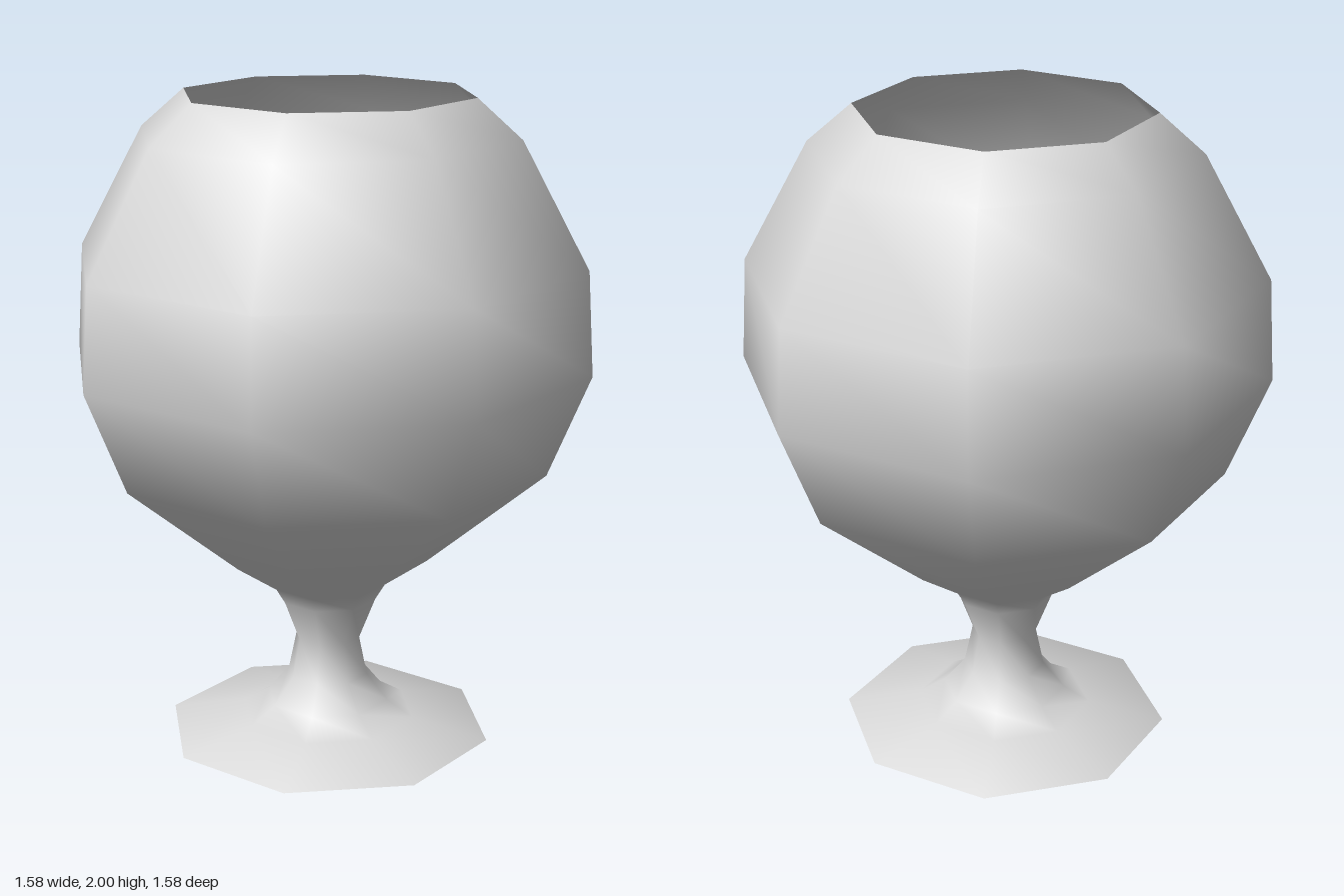
import * as THREE from 'three';

const SIDES = 8;

// Outside, from the centre of the foot up to the rim: [radius, height]
const OUTER = [
  [0, 0], [0.38, 0], [0.41, 0.005], [0.505, 0.03], [0.27, 0.08], [0.19, 0.13],
  [0.125, 0.21], [0.1, 0.33], [0.15, 0.46], [0.18, 0.51], [0.31, 0.6],
  [0.665, 0.9], [0.79, 1.21], [0.77, 1.52], [0.57, 1.885], [0.437, 2],
];

// Inside, from the rim down to the bottom of the bowl
const INNER = [
  [0.437, 2], [0.56, 1.875], [0.755, 1.515], [0.775, 1.21],
  [0.65, 0.91], [0.3, 0.615], [0.15, 0.53], [0, 0.51],
];

function lathe(name, profile, material) {
  const points = profile.map(([r, y]) => new THREE.Vector2(r, y));
  const mesh = new THREE.Mesh(new THREE.LatheGeometry(points, SIDES), material);
  mesh.name = name;
  return mesh;
}

export function createModel() {
  const glass = new THREE.MeshStandardMaterial({ color: 0xd8d8d8 });
  glass.name = 'light grey';

  const group = new THREE.Group();
  group.name = 'goblet';
  group.add(
    lathe('footStemAndBowl', OUTER, glass),
    lathe('bowlInside', INNER, glass),
  );
  return group;
}
